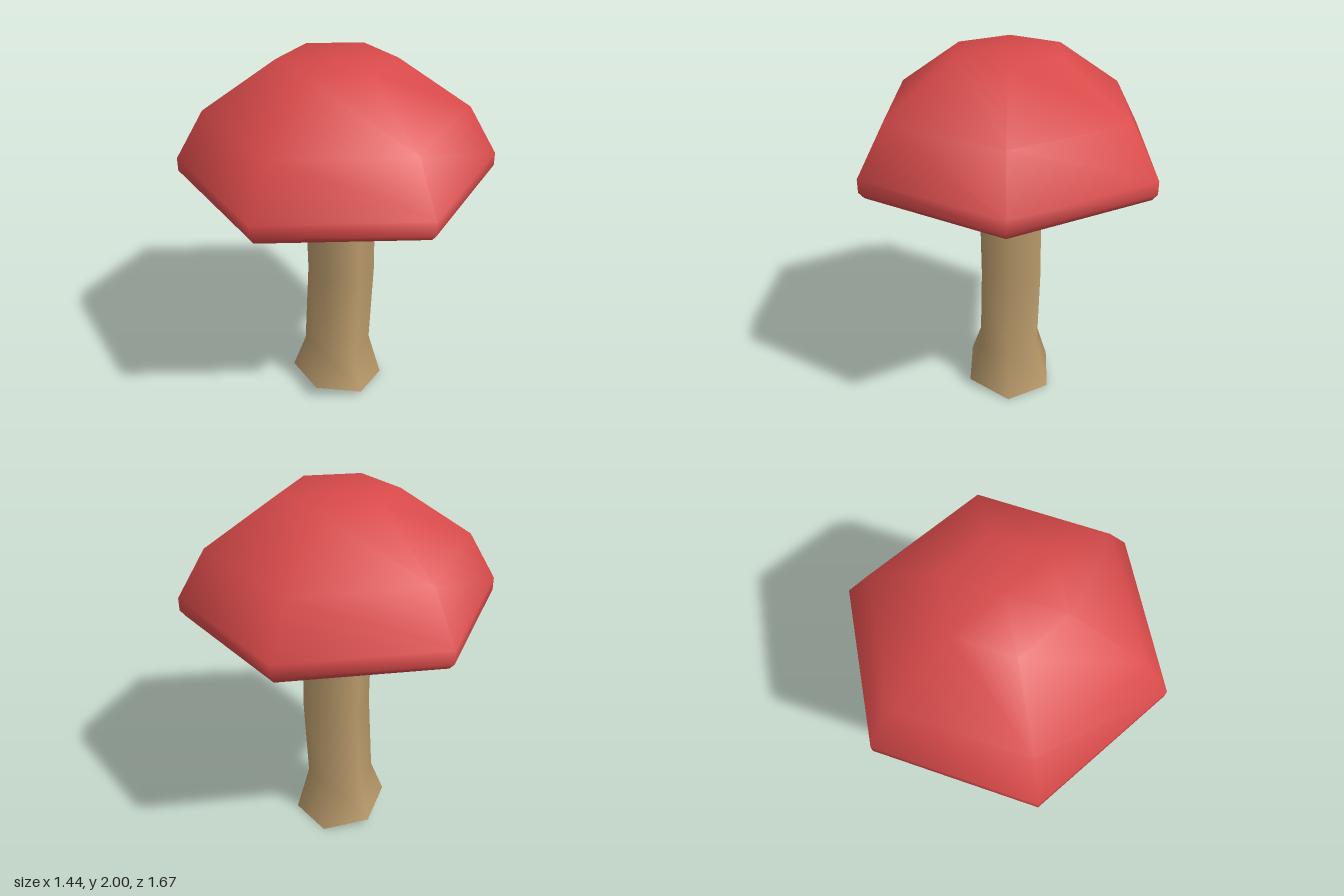
import * as THREE from 'three';

const SIDES = 6;

// Six-sided lathe with smooth normals; profile is [radius, height] pairs
function hexLathe(profile) {
  return new THREE.LatheGeometry(profile.map(([r, y]) => new THREE.Vector2(r, y)), SIDES);
}

export function createModel() {
  const red = new THREE.MeshStandardMaterial({ color: 0xd94a4a, side: THREE.DoubleSide });
  red.name = 'capRed';
  const tan = new THREE.MeshStandardMaterial({ color: 0xb99a6b, side: THREE.DoubleSide });
  tan.name = 'stemTan';

  const group = new THREE.Group();
  group.name = 'mushroom';
  const add = (name, geometry, material) => {
    const mesh = new THREE.Mesh(geometry, material);
    mesh.name = name;
    group.add(mesh);
  };

  // Hollow cap: rolled rim rising to a flat top
  add('cap', hexLathe([
    [0.77, 1.378], [0.805, 1.375], [0.833, 1.41], [0.833, 1.48],
    [0.68, 1.74], [0.3, 2], [0, 2],
  ]), red);

  // Underside ring, rising slightly towards an open centre
  add('gills', hexLathe([[0.41, 1.46], [0.77, 1.378]]), tan);

  // Stem: flared at both ends, bowed sideways, with a slanted open foot
  const rings = [ // radius, height, sideways shift, slant
    [0.265, 0.045, 0, -0.175], [0.19, 0.285, 0, 0], [0.188, 0.78, 0.028, 0],
    [0.188, 1.08, 0.022, 0], [0.19, 1.28, 0, 0], [0.315, 1.5, 0, 0],
  ];
  const stem = hexLathe(rings);
  const pos = stem.attributes.position;
  for (let i = 0; i < pos.count; i++) {
    const [, y, shift, slant] = rings[i % rings.length];
    const x = pos.getX(i);
    pos.setXYZ(i, x + shift, y + slant * x, pos.getZ(i));
  }
  add('stem', stem, tan);

  return group;
}
